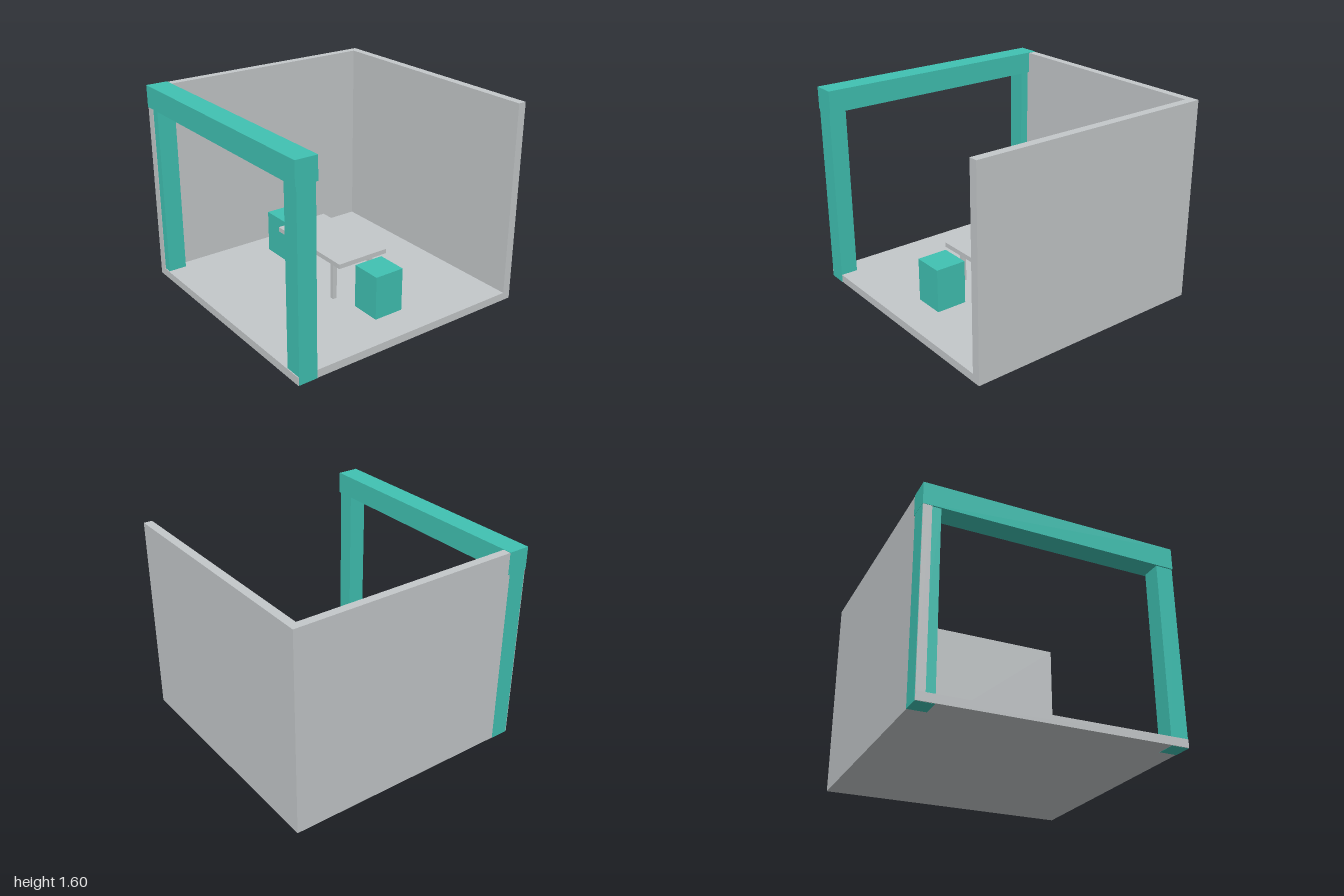
import * as THREE from 'three';

export function createModel() {
  const model = new THREE.Group();
  model.name = 'booth';

  const grey = new THREE.MeshStandardMaterial({ color: 0xc4c8ca });
  grey.name = 'light grey';
  const teal = new THREE.MeshStandardMaterial({ color: 0x40c2b3 });
  teal.name = 'teal';

  // Box given by its lower and upper limits on each axis
  function box(name, material, [x0, x1], [y0, y1], [z0, z1], parent = model) {
    const mesh = new THREE.Mesh(new THREE.BoxGeometry(x1 - x0, y1 - y0, z1 - z0), material);
    mesh.position.set((x0 + x1) / 2, (y0 + y1) / 2, (z0 + z1) / 2);
    mesh.name = name;
    parent.add(mesh);
  }

  // Floor slab and the two walls
  box('floor', grey, [-0.996, 0.996], [0.001, 0.064], [-1, 0.997]);
  box('sideWall', grey, [-0.996, -0.93], [0.064, 1.597], [-1, 0.997]);
  box('backWall', grey, [-0.93, 0.996], [0.064, 1.597], [-1, -0.933]);

  // Front frame: two posts, standing through the floor, under a wide beam
  const frame = new THREE.Group();
  frame.name = 'frontFrame';
  model.add(frame);
  box('rightPost', teal, [-0.998, -0.862], [0, 1.43], [0.843, 0.99], frame);
  box('leftPost', teal, [0.86, 0.998], [0, 1.43], [0.843, 0.99], frame);
  box('beam', teal, [-0.999, 0.999], [1.427, 1.6], [0.827, 1], frame);

  // Table
  const table = new THREE.Group();
  table.name = 'table';
  model.add(table);
  box('tableTop', grey, [-0.41, 0.407], [0.38, 0.417], [-0.23, 0.218], table);
  for (const x of [-0.293, 0.257]) {
    for (const z of [-0.193, 0.155]) {
      box('tableLeg', grey, [x, x + 0.034], [0.064, 0.38], [z, z + 0.034], table);
    }
  }

  // Block stools at both ends of the table
  for (const x of [-0.6, 0.598]) {
    box('stool', teal, [x - 0.124, x + 0.124], [0.064, 0.412], [-0.128, 0.119]);
  }

  return model;
}
